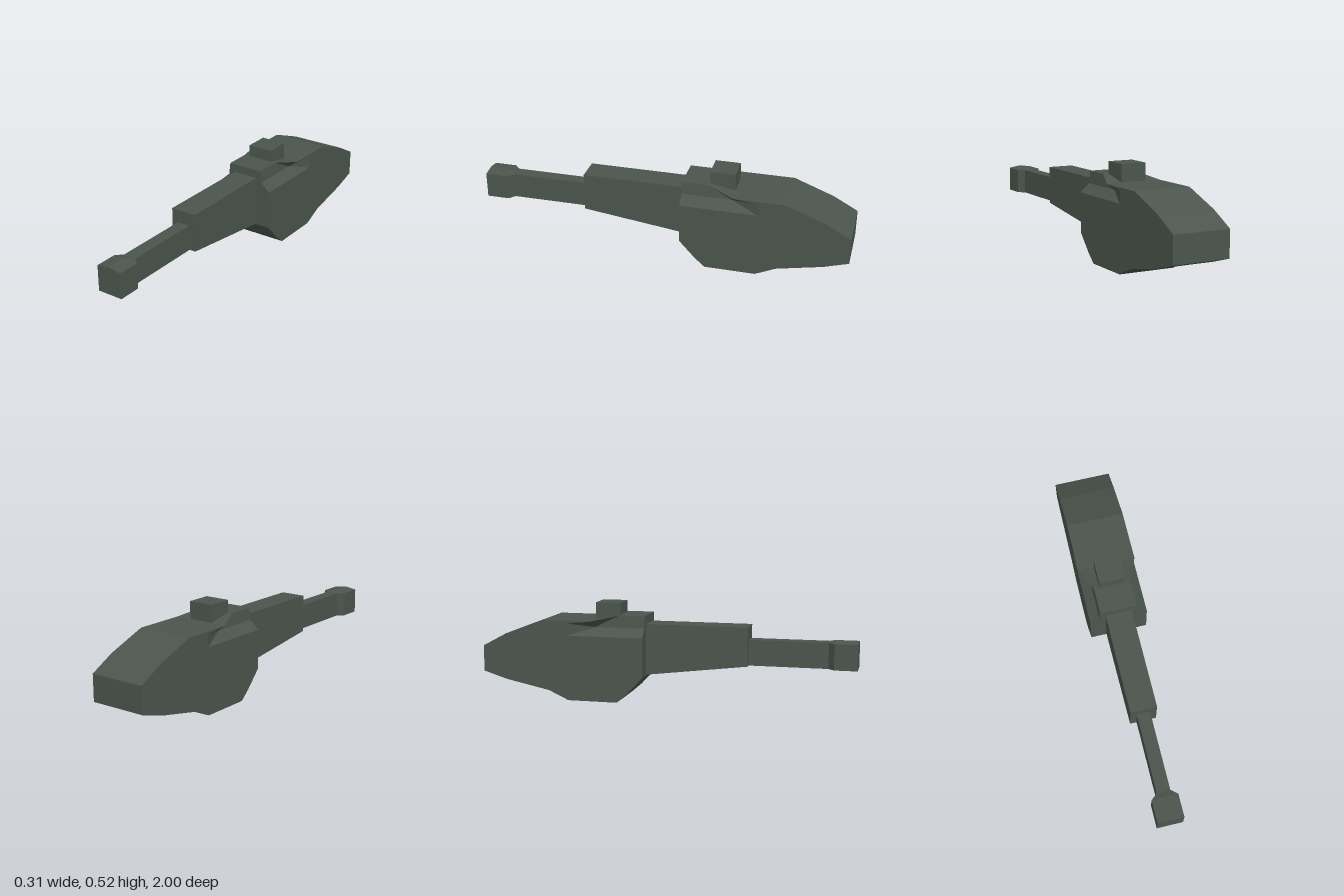
import * as THREE from 'three';

const material = new THREE.MeshStandardMaterial({ color: 0x4b554d, flatShading: true });

function part(name, geometry) {
  const mesh = new THREE.Mesh(geometry, material);
  mesh.name = name;
  return mesh;
}

// Side profile of [z, y] points, extruded across x
function sideExtrude(points, width) {
  const shape = new THREE.Shape(points.map(([z, y]) => new THREE.Vector2(z, y)));
  const geometry = new THREE.ExtrudeGeometry(shape, { depth: width, bevelEnabled: false });
  return geometry.rotateY(-Math.PI / 2).translate(width / 2, 0, 0);
}

// Polygons of named points, each split into a fan; optionally mirrored in x
function polygons(points, faces, mirror) {
  const out = [];
  for (const face of faces) {
    const p = face.map((k) => points[k]);
    for (let i = 1; i < p.length - 1; i++) {
      out.push(...p[0], ...p[i], ...p[i + 1]);
      if (mirror) for (const [x, y, z] of [p[0], p[i + 1], p[i]]) out.push(-x, y, z);
    }
  }
  const geometry = new THREE.BufferGeometry();
  geometry.setAttribute('position', new THREE.Float32BufferAttribute(out, 3));
  geometry.computeVertexNormals();
  return geometry;
}

// Raised roof with a sloping cut-out along each shoulder (+x half, mirrored)
function roofGeometry() {
  const points = {
    A: [0.154, 0.35, -0.11], B: [0.105, 0.395, -0.11], C: [0.098, 0.46, -0.11],
    D: [0.154, 0.35, -0.38], E: [0.105, 0.395, -0.38], F: [0.098, 0.46, -0.25],
    G: [0.154, 0.43, -0.39], H: [0.154, 0.35, -0.52], I: [0.154, 0.415, -0.52],
    J: [0, 0.35, -0.11], K: [0, 0.46, -0.11], L: [0, 0.46, -0.25], M: [0, 0.43, -0.39],
  };
  const faces = ['JABCK', 'ADEB', 'DHE', 'HIE', 'IGE', 'BEFC', 'EGF', 'CFLK', 'FGML'];
  return polygons(points, faces.map((f) => [...f]), true);
}

// Muzzle block: ridged sections flaring out from the barrel
function muzzleGeometry() {
  const sections = [[0.85, 0.035, 0.347], [0.88, 0.069, 0.357], [1, 0.069, 0.357]];
  const points = [];
  for (const [z, w, ridge] of sections) {
    points.push([w, 0.21, z], [w, 0.346, z], [0, ridge, z], [-w, 0.346, z], [-w, 0.21, z]);
  }
  const faces = [[4, 3, 2, 1, 0], [10, 11, 12, 13, 14]];
  for (let s = 0; s < 10; s += 5) {
    for (let i = 0; i < 5; i++) {
      const j = (i + 1) % 5;
      faces.push([s + i, s + j, s + 5 + j, s + 5 + i]);
    }
  }
  return polygons(points, faces, false);
}

export function createModel() {
  const group = new THREE.Group();
  group.name = 'gunTurret';

  // Turret body, notched where the shoulders are cut away
  group.add(part('hull', sideExtrude([
    [-0.11, 0.14], [-0.11, 0.35], [-0.52, 0.35], [-0.52, 0.415], [-0.39, 0.43],
    [-0.66, 0.43], [-0.87, 0.35], [-1, 0.28], [-1, 0.14], [-0.87, 0.1],
    [-0.63, 0.05], [-0.52, 0], [-0.25, 0], [-0.195, 0.048],
  ], 0.308)));
  group.add(part('roof', roofGeometry()));

  // Tapered housing at the root of the gun
  group.add(part('mantlet', sideExtrude([
    [-0.12, 0.141], [0.435, 0.21], [0.435, 0.415], [-0.12, 0.415],
  ], 0.14)));

  // Square barrel and muzzle
  const barrel = part('barrel', new THREE.BoxGeometry(0.07, 0.136, 0.43));
  barrel.position.set(0, 0.278, 0.64);
  group.add(barrel, part('muzzle', muzzleGeometry()));

  // Sight box on the roof
  const sight = part('sight', new THREE.BoxGeometry(0.138, 0.1, 0.135));
  sight.position.set(0, 0.473, -0.318);
  group.add(sight);

  return group;
}
